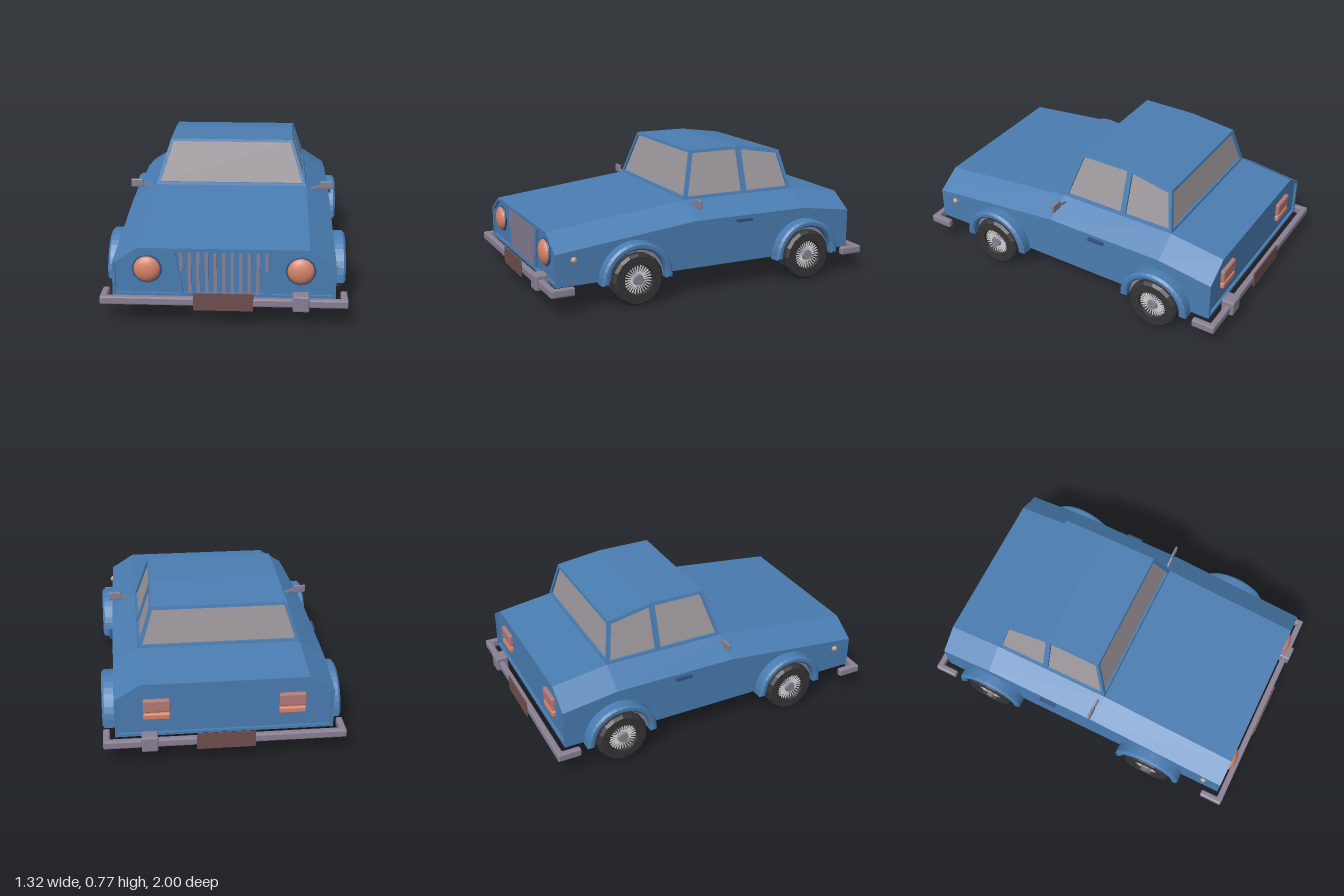
import * as THREE from 'three';
import { RoundedBoxGeometry } from 'three/addons/geometries/RoundedBoxGeometry.js';

const mat = (color, flatShading = true, side = THREE.FrontSide) =>
  new THREE.MeshStandardMaterial({ color, flatShading, side });
const blue = mat(0x4a7db2), blueThin = mat(0x4a7db2, true, THREE.DoubleSide), darkBlue = mat(0x2f5080);
const chrome = mat(0x8a8094), glass = mat(0x9c979b, true, THREE.DoubleSide);
const orange = mat(0xd6846a, false), red = mat(0xb37a78), brown = mat(0x6e4f4d);
const rubber = mat(0x343436), wire = mat(0xdedede), amber = mat(0xc0a080, false);

function add(parent, name, geometry, material, x = 0, y = 0, z = 0) {
  const mesh = new THREE.Mesh(geometry, material);
  mesh.name = name;
  mesh.position.set(x, y, z);
  parent.add(mesh);
  return mesh;
}
const box = (w, h, d) => new THREE.BoxGeometry(w, h, d);
const rounded = (w, h, d, r = 0.008) => new RoundedBoxGeometry(w, h, d, 1, r);

// Skin through rings ordered front to back, each counter-clockwise seen from the front
function loft(rings) {
  const n = rings[0].length, index = [], last = (rings.length - 1) * n;
  for (let i = 0; i < rings.length - 1; i++) {
    for (let j = 0; j < n; j++) {
      const a = i * n + j, b = i * n + (j + 1) % n;
      index.push(a, b + n, b, a, a + n, b + n);
    }
  }
  for (let j = 1; j < n - 1; j++) index.push(0, j, j + 1, last, last + j + 1, last + j);
  const g = new THREE.BufferGeometry();
  g.setAttribute('position', new THREE.Float32BufferAttribute(rings.flat(2), 3));
  g.setIndex(index);
  const flat = g.toNonIndexed();
  flat.computeVertexNormals();
  return flat;
}

const polygon = (pts) => new THREE.Shape(pts.map(([x, y]) => new THREE.Vector2(x, y)));

// Extruded sheet whose vertices are moved onto a sloping plane by map(u, v, depth)
function panel(outline, holes, from, depth, map) {
  const shape = polygon(outline);
  shape.holes = holes.map(polygon);
  const g = new THREE.ExtrudeGeometry(shape, { depth, bevelEnabled: false });
  const p = g.attributes.position;
  for (let i = 0; i < p.count; i++) p.setXYZ(i, ...map(p.getX(i), p.getY(i), p.getZ(i) + from));
  g.computeVertexNormals();
  return g;
}

// Framed wall of the cabin with recessed panes
function cabinWall(parent, name, outline, windows, map) {
  add(parent, name + 'Frame', panel(outline, windows, 0, 0.02, map), blueThin);
  windows.forEach((w) => add(parent, name + 'Glass', panel(w, [], 0.012, 0.004, map), glass));
}

function buildBody(parent) {
  const ring = (z, shoulder, top, inset = 0) => {
    const x = 0.59 - inset, t = 0.45 - inset * 0.4;
    const b = 0.15 + inset, s = shoulder - inset * 0.5, h = top - inset;
    return [[x, b, z], [x, s, z], [t, h, z], [-t, h, z], [-x, s, z], [-x, b, z]];
  };
  add(parent, 'body', loft([
    ring(0.92, 0.33, 0.42, 0.016), ring(0.935, 0.33, 0.42, 0.016), ring(0.935, 0.33, 0.42),
    ring(0.11, 0.42, 0.51), ring(-0.6, 0.42, 0.51),
    ring(-0.92, 0.375, 0.465), ring(-0.92, 0.375, 0.465, 0.016), ring(-0.905, 0.375, 0.465, 0.016),
  ]), blue);
}

function buildCabin(parent) {
  const cabin = new THREE.Group();
  cabin.name = 'cabin';
  parent.add(cabin);
  cabinWall(cabin, 'windshield',
    [[-0.45, 0.51], [0.45, 0.51], [0.365, 0.775], [-0.365, 0.775]],
    [[[-0.43, 0.525], [0.43, 0.525], [0.35, 0.76], [-0.35, 0.76]]],
    (u, v, d) => [u, v, 0.11 - (v - 0.51) * 0.29 - d]);
  cabinWall(cabin, 'rearWindow',
    [[-0.45, 0.51], [0.45, 0.51], [0.378, 0.735], [-0.378, 0.735]],
    [[[-0.43, 0.525], [0.43, 0.525], [0.364, 0.718], [-0.364, 0.718]]],
    (u, v, d) => [u, v, -0.6 + (v - 0.51) * 0.2 + d]);
  for (const s of [1, -1]) {
    cabinWall(cabin, s > 0 ? 'leftSide' : 'rightSide',
      [[0.11, 0.51], [0.033, 0.775], [-0.29, 0.775], [-0.555, 0.735], [-0.6, 0.51]],
      [[[0.092, 0.525], [0.025, 0.76], [-0.268, 0.76], [-0.268, 0.525]],
        [[-0.3, 0.525], [-0.3, 0.757], [-0.543, 0.718], [-0.581, 0.525]]],
      (u, v, d) => [s * (0.45 - (v - 0.51) * 0.32 - d), v, u]);
  }
  const ring = (z, x, y) => [[x, y - 0.015, z], [x, y, z], [-x, y, z], [-x, y - 0.015, z]];
  add(cabin, 'roof', loft([ring(0.033, 0.365, 0.776), ring(-0.29, 0.365, 0.776), ring(-0.555, 0.378, 0.736)]), blue);
}

// Wheel with arch; local +x points outwards
function buildWheel(parent, side, z) {
  const wheel = new THREE.Group();
  wheel.name = 'wheel';
  wheel.position.set(side * 0.55, 0.15, z);
  wheel.rotation.y = side > 0 ? 0 : Math.PI;
  parent.add(wheel);

  const profile = [[0, 0], [0.132, 0], [0.148, 0.015], [0.148, 0.092], [0.134, 0.108], [0.086, 0.108], [0.08, 0.085], [0, 0.085]];
  const tyre = new THREE.LatheGeometry(profile.map(([r, h]) => new THREE.Vector2(r, h)), 16);
  add(wheel, 'tyre', tyre.rotateZ(-Math.PI / 2), rubber);
  add(wheel, 'hub', new THREE.CylinderGeometry(0.028, 0.034, 0.022, 12).rotateZ(-Math.PI / 2), chrome, 0.095);
  for (let i = 0; i < 28; i++) {
    const spoke = box(0.005, 0.05, 0.0065).translate(0, 0.055, 0).rotateX(i / 28 * Math.PI * 2);
    add(wheel, 'spoke', spoke, wire, 0.09);
  }

  // Half-ring flare over a half-disc liner
  const arch = (name, outer, inner, x0, x1, bevel, material) => {
    const shape = new THREE.Shape();
    shape.absarc(0, 0, outer - bevel, 0, Math.PI, false);
    if (inner) shape.absarc(0, 0, inner + bevel, Math.PI, 0, true);
    const g = new THREE.ExtrudeGeometry(shape, {
      depth: x1 - x0 - 2 * bevel, curveSegments: 9,
      bevelEnabled: bevel > 0, bevelSize: bevel, bevelThickness: bevel, bevelSegments: 1,
    });
    add(wheel, name, g.rotateY(Math.PI / 2), material, x0 + bevel);
  };
  arch('archFlare', 0.208, 0.166, 0.02, 0.108, 0.012, blue);
  arch('archLiner', 0.168, 0, 0.0, 0.06, 0, chrome);
}

function buildBumper(parent, dir) {
  const bumper = new THREE.Group();
  bumper.name = dir > 0 ? 'frontBumper' : 'rearBumper';
  parent.add(bumper);
  add(bumper, 'bar', rounded(1.31, 0.046, 0.036), chrome, 0, 0.138, dir * 0.965);
  for (const s of [1, -1]) add(bumper, 'barEnd', rounded(0.036, 0.046, 0.135), chrome, s * 0.637, 0.138, dir * 0.915);
  add(bumper, 'overrider', rounded(0.088, 0.088, 0.075), chrome, 0.407, 0.142, dir * 0.9625);
  add(bumper, 'plate', box(0.315, 0.095, 0.008), brown, 0, 0.143, dir * 0.987);
}

function buildFront(parent) {
  // Raised trapezoid surround
  const frame = polygon([[-0.29, 0.403], [-0.245, 0.166], [0.245, 0.166], [0.29, 0.403]]);
  frame.holes = [polygon([[-0.255, 0.398], [-0.212, 0.17], [0.212, 0.17], [0.255, 0.398]])];
  add(parent, 'grilleFrame', new THREE.ExtrudeGeometry(frame, { depth: 0.013, bevelEnabled: false }), blue, 0, 0, 0.919);
  // Slats, the outermost cut short by the sloping surround
  for (let i = -5; i <= 5; i++) {
    const x = i * 0.045;
    const low = Math.max(0.168, 0.168 + (Math.abs(x) - 0.2) * 5);
    add(parent, 'grilleSlat', box(0.018, 0.398 - low, 0.014), chrome, x, (0.398 + low) / 2, 0.926);
  }
  for (const s of [1, -1]) {
    const lamp = add(parent, 'headlight', new THREE.SphereGeometry(0.072, 24, 16), orange, s * 0.405, 0.3, 0.925);
    lamp.scale.z = 0.5;
    add(parent, 'headlightRing', new THREE.TorusGeometry(0.073, 0.006, 6, 24), darkBlue, s * 0.405, 0.3, 0.925);
  }
}

function buildSideDetails(parent, s) {
  add(parent, 'sideLamp', new THREE.SphereGeometry(0.018, 12, 8), amber, s * 0.59, 0.29, 0.83);
  add(parent, 'doorHandle', box(0.026, 0.014, 0.098), darkBlue, s * 0.597, 0.395, -0.2);
  add(parent, 'mirror', rounded(0.073, 0.048, 0.014, 0.005), chrome, s * 0.57, 0.51, 0.083);
  const arm = add(parent, 'mirrorArm', box(0.11, 0.012, 0.01), chrome, s * 0.49, 0.492, 0.083);
  arm.rotation.z = s * 0.28;
  // Tail lamp in two stacked lenses
  add(parent, 'tailLamp', rounded(0.145, 0.075, 0.03), red, s * 0.365, 0.332, -0.912);
  add(parent, 'reverseLamp', rounded(0.145, 0.036, 0.03), orange, s * 0.365, 0.268, -0.912);
}

export function createModel() {
  const car = new THREE.Group();
  car.name = 'car';
  buildBody(car);
  buildCabin(car);
  buildFront(car);
  for (const s of [1, -1]) {
    buildSideDetails(car, s);
    buildBumper(car, s);
    for (const z of [0.485, -0.6]) buildWheel(car, s, z);
  }
  return car;
}
